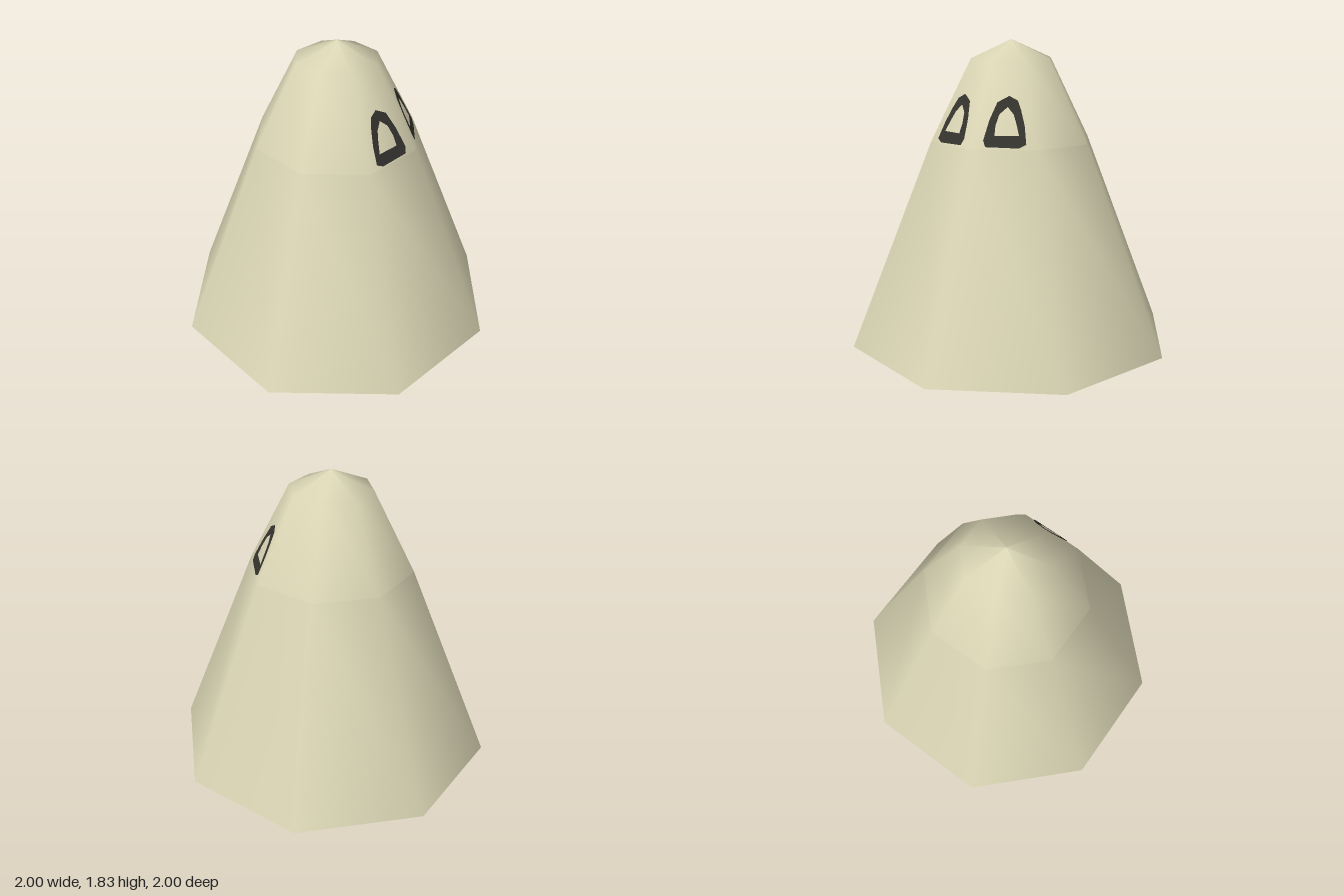
import * as THREE from 'three';

const cloth = new THREE.MeshStandardMaterial({ color: 0xdad5b4 });
cloth.name = 'paleCloth';
const dark = new THREE.MeshStandardMaterial({ color: 0x34332e });
dark.name = 'darkEye';

const SIDES = 8;
const shoulder = { r: 0.5, y: 1.23 };
const crown = { r: 0.25, y: 1.72 };

// Eight-sided smooth-shaded band from [radius, height] pairs
function band(name, points) {
  const geo = new THREE.LatheGeometry(points.map(([r, y]) => new THREE.Vector2(r, y)), SIDES);
  const mesh = new THREE.Mesh(geo, cloth);
  mesh.name = name;
  return mesh;
}

// Flat ring laid on the sloping head facet; side is +1 for +z, -1 for -z
function eye(name, side) {
  const toPoints = (list) => list.map(([z, y]) => new THREE.Vector2(-side * z, y));
  const shape = new THREE.Shape(toPoints([
    [0.29, 1.26], [0.26, 1.36], [0.225, 1.44], [0.195, 1.495], [0.145, 1.52], [0.09, 1.485],
    [0.07, 1.39], [0.062, 1.28], [0.08, 1.245], [0.255, 1.24],
  ]));
  shape.holes.push(new THREE.Path(toPoints([
    [0.243, 1.305], [0.215, 1.37], [0.19, 1.42], [0.15, 1.46], [0.115, 1.42], [0.108, 1.36], [0.115, 1.305],
  ])));
  const geo = new THREE.ShapeGeometry(shape);
  const pos = geo.attributes.position;
  const slope = (shoulder.r - crown.r) / (crown.y - shoulder.y);
  for (let i = 0; i < pos.count; i++) {
    const z = -pos.getX(i);
    const y = pos.getY(i);
    const r = shoulder.r - (y - shoulder.y) * slope;
    pos.setXYZ(i, r - Math.abs(z) * Math.tan(Math.PI / SIDES) + 0.006, y, z);
  }
  geo.computeVertexNormals();
  const mesh = new THREE.Mesh(geo, dark);
  mesh.name = name;
  return mesh;
}

export function createModel() {
  const model = new THREE.Group();
  model.name = 'hoodedCone';

  // Outer shell
  model.add(band('skirt', [[1, 0], [shoulder.r, shoulder.y]]));
  model.add(band('head', [[shoulder.r, shoulder.y], [crown.r, crown.y], [0, 1.83]]));

  // Hollow inside and bottom rim
  model.add(band('lining', [[0, 1.78], [0.22, 1.69], [0.46, 1.22], [0.955, 0]]));
  model.add(band('hem', [[0.955, 0], [1, 0]]));

  // Eyes on the two facets beside the +x edge
  model.add(eye('frontEye', 1), eye('backEye', -1));
  return model;
}
